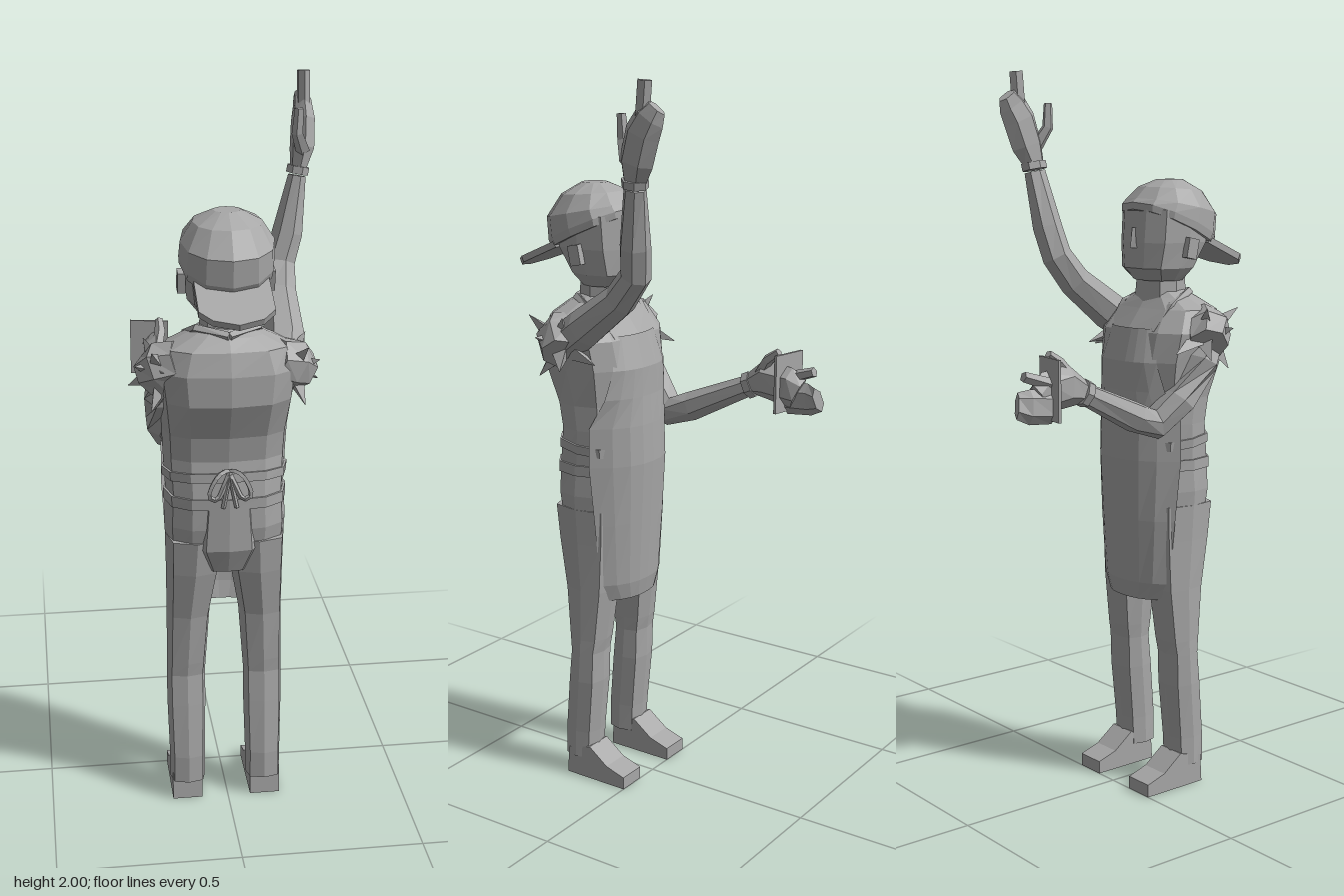
import * as THREE from 'three';

const V = (x, y, z) => new THREE.Vector3(x, y, z);
const grey = new THREE.MeshStandardMaterial({ color: 0xa8a8a8 });
grey.name = 'plain grey';
const greySheet = new THREE.MeshStandardMaterial({ color: 0xa8a8a8, side: THREE.DoubleSide });
greySheet.name = 'plain grey sheet';

// Flat-shaded skin over rows of points; closed rows are capped at both ends
function skin(rows, closed = true) {
  const out = [], n = rows[0].length;
  const tri = (a, b, c) => { for (const p of [a, b, c]) out.push(p.x, p.y, p.z); };
  for (let i = 0; i < rows.length - 1; i++) {
    for (let j = 0; j < (closed ? n : n - 1); j++) {
      const k = (j + 1) % n, lo = rows[i], hi = rows[i + 1];
      tri(lo[j], hi[j], lo[k]);
      tri(hi[j], hi[k], lo[k]);
    }
  }
  if (closed) {
    const mid = r => r.reduce((s, p) => s.add(p), V(0, 0, 0)).divideScalar(n);
    const lo = rows[0], hi = rows[rows.length - 1], cl = mid(lo), ch = mid(hi);
    for (let j = 0; j < n; j++) {
      const k = (j + 1) % n;
      tri(cl, lo[j], lo[k]);
      tri(ch, hi[k], hi[j]);
    }
  }
  const g = new THREE.BufferGeometry();
  g.setAttribute('position', new THREE.Float32BufferAttribute(out, 3));
  g.computeVertexNormals();
  return g;
}

// Upright loft; each row is [y, centre x, half width, z front, z back, slope]
function loft(rows, sides = 10, power = 0.75) {
  const bend = v => Math.sign(v) * Math.pow(Math.abs(v) < 1e-6 ? 0 : Math.abs(v), power);
  return skin(rows.map(([y, cx, hw, zf, zb, slope = 0]) => Array.from({ length: sides }, (_, j) => {
    const a = j / sides * Math.PI * 2, dz = bend(Math.sin(a)) * (zb - zf) / 2;
    return V(cx + bend(Math.cos(a)) * hw, y + slope * dz, (zf + zb) / 2 + dz);
  })));
}

// Limb along a path; each point is [x, y, z, radius, second radius]
function sweep(path, sides = 7) {
  const p = path.map(q => V(q[0], q[1], q[2])), last = p.length - 1;
  return skin(path.map((q, i) => {
    const dir = p[Math.min(i + 1, last)].clone().sub(p[Math.max(i - 1, 0)]).normalize();
    const turn = new THREE.Quaternion().setFromUnitVectors(V(0, 1, 0), dir);
    return Array.from({ length: sides }, (_, j) => {
      const a = (j + 0.5) / sides * Math.PI * 2;
      return V(Math.cos(a) * q[3], 0, Math.sin(a) * (q[4] ?? q[3])).applyQuaternion(turn).add(p[i]);
    });
  }));
}

export function createModel() {
  const model = new THREE.Group();
  model.name = 'figure';
  const add = (name, geometry, material = grey) => {
    const mesh = new THREE.Mesh(geometry.index ? geometry.toNonIndexed() : geometry, material);
    mesh.geometry.computeVertexNormals();
    mesh.name = name;
    model.add(mesh);
    return mesh;
  };
  const cx = -0.005;

  // Torso and hips
  add('torso', loft([
    [0.73, cx, 0.12, 0.09, 0.2], [0.77, cx, 0.16, 0.065, 0.24], [0.86, cx, 0.165, 0.05, 0.258],
    [0.95, cx, 0.16, 0.04, 0.258], [1.05, cx, 0.165, 0.04, 0.243], [1.12, cx, 0.168, 0.04, 0.255],
    [1.22, cx, 0.18, 0.03, 0.298], [1.3, cx, 0.19, 0.045, 0.298], [1.36, cx, 0.165, 0.09, 0.28],
    [1.39, cx, 0.1, 0.11, 0.25], [1.41, cx, 0.06, 0.12, 0.22]], 12));
  add('belt', loft([[0.92, cx, 0.166, 0.04, 0.263], [0.95, cx, 0.166, 0.036, 0.263]], 12));
  add('apronTie', loft([[0.985, cx, 0.168, 0.03, 0.256, 0.1], [1.01, cx, 0.17, 0.03, 0.254, 0.1]], 12));
  add('seatPanel', loft([[0.73, cx, 0.05, 0.2, 0.235], [0.8, cx, 0.08, 0.2, 0.262], [0.92, cx, 0.07, 0.2, 0.262]], 8));
  add('neck', loft([[1.36, cx, 0.07, 0.1, 0.23], [1.47, cx, 0.065, 0.11, 0.22]], 8));

  // Legs and shoes
  const shoe = new THREE.Shape([[-0.2, 0], [0, 0], [0, 0.036], [-0.06, 0.055], [-0.12, 0.1], [-0.195, 0.08]]
    .map(([a, b]) => new THREE.Vector2(a, b)));
  for (const s of [-1, 1]) {
    const x = r => cx + s * r;
    add('leg', loft([
      [0.06, x(0.108), 0.05, 0.12, 0.215], [0.14, x(0.108), 0.05, 0.115, 0.215], [0.3, x(0.108), 0.054, 0.1, 0.2],
      [0.39, x(0.108), 0.054, 0.098, 0.19], [0.43, x(0.106), 0.055, 0.09, 0.195],
      [0.58, x(0.1), 0.06, 0.07, 0.21], [0.72, x(0.088), 0.073, 0.06, 0.237], [0.82, x(0.083), 0.08, 0.055, 0.25]], 8, 0.65));
    const g = new THREE.ExtrudeGeometry(shoe, { depth: 0.084, bevelEnabled: false });
    g.rotateY(Math.PI / 2).translate(x(0.111) - 0.042, 0, 0);
    add('shoe', g);
  }

  // Apron sheet, wrapped round the chest and thighs; rows are [y, half width, z middle, z edge]
  const apron = [[0.55, 0.11, 0.032, 0.075], [0.6, 0.14, 0.022, 0.085], [0.78, 0.156, 0.01, 0.09],
    [0.95, 0.167, 0.0, 0.1], [1.06, 0.166, 0.004, 0.1], [1.14, 0.14, 0.01, 0.065],
    [1.22, 0.12, 0.012, 0.05], [1.31, 0.1, 0.04, 0.07]];
  add('apron', skin(apron.map(([y, hw, zm, ze]) => Array.from({ length: 9 }, (_, j) => {
    const u = j / 4 - 1;
    return V(cx + u * hw, y, zm + (ze - zm) * Math.pow(Math.abs(u), 2.5));
  })), false), greySheet);
  for (const s of [-1, 1]) {
    add('neckStrap', sweep([[cx + s * 0.09, 1.3, 0.065, 0.012], [cx + s * 0.1, 1.37, 0.12, 0.012],
      [cx + s * 0.08, 1.405, 0.2, 0.012], [cx, 1.395, 0.25, 0.012]], 4));
    // Bow loops and tails
    const b = new THREE.CatmullRomCurve3([V(cx, 1.03, 0.253), V(cx + s * 0.03, 1.025, 0.27),
      V(cx + s * 0.055, 0.965, 0.27), V(cx + s * 0.035, 0.955, 0.268), V(cx + s * 0.015, 0.99, 0.262)], true);
    add('bowLoop', new THREE.TubeGeometry(b, 14, 0.007, 4, true));
    add('bowTail', sweep([[cx, 1.02, 0.258, 0.006], [cx + s * 0.018, 0.93, 0.266, 0.006]], 4));
  }

  // Head, ears and backward cap
  add('head', loft([[1.435, cx, 0.07, 0.1, 0.21], [1.47, cx, 0.098, 0.066, 0.24], [1.54, cx, 0.11, 0.064, 0.285],
    [1.63, cx, 0.112, 0.07, 0.29]], 10));
  add('nose', loft([[1.525, cx, 0.018, 0.055, 0.09], [1.58, cx, 0.008, 0.062, 0.09]], 4, 1));
  for (const s of [-1, 1]) {
    add('ear', new THREE.BoxGeometry(0.02, 0.055, 0.035).rotateX(0.2).translate(cx + s * 0.115, 1.525, 0.175));
  }
  add('cap', loft([[1.575, cx, 0.121, 0.064, 0.31, -0.45], [1.595, cx, 0.123, 0.064, 0.322, -0.42],
    [1.635, cx, 0.12, 0.078, 0.328, -0.2], [1.683, cx, 0.088, 0.11, 0.285, -0.08], [1.71, cx, 0.035, 0.16, 0.23]], 12, 0.9));
  const brim = new THREE.Shape([[-0.098, 0], [0.092, 0], [0.092, 0.125], [0.06, 0.16], [-0.003, 0.18], [-0.066, 0.16], [-0.098, 0.125]]
    .map(([a, b]) => new THREE.Vector2(a, b)));
  add('capBrim', new THREE.ExtrudeGeometry(brim, { depth: 0.018, bevelEnabled: false })
    .rotateX(Math.PI / 2 + 0.42).translate(0, 1.553, 0.265));

  // Raised arm
  add('raisedUpperArm', sweep([[0.14, 1.28, 0.2, 0.055], [0.16, 1.34, 0.11, 0.055], [0.165, 1.43, -0.01, 0.046],
    [0.172, 1.5, -0.065, 0.043], [0.195, 1.58, -0.08, 0.042], [0.222, 1.73, -0.1, 0.024, 0.032]]));
  add('raisedCuff', sweep([[0.222, 1.735, -0.1, 0.03, 0.038], [0.226, 1.755, -0.102, 0.03, 0.038]]));
  add('raisedPalm', sweep([[0.225, 1.75, -0.1, 0.022, 0.034], [0.237, 1.8, -0.115, 0.033, 0.05],
    [0.242, 1.87, -0.137, 0.032, 0.052], [0.243, 1.91, -0.16, 0.025, 0.045], [0.24, 1.935, -0.178, 0.018, 0.03]], 6));
  add('raisedFinger', sweep([[0.243, 1.88, -0.135, 0.018, 0.022], [0.243, 2.0, -0.145, 0.018, 0.022]], 6));
  add('raisedThumb', sweep([[0.235, 1.8, -0.085, 0.02], [0.215, 1.85, -0.06, 0.016], [0.218, 1.915, -0.056, 0.012]], 5));

  // Forward arm with a small card in the hand
  add('forwardArm', sweep([[-0.15, 1.32, 0.21, 0.055], [-0.172, 1.22, 0.17, 0.05], [-0.168, 1.12, 0.1, 0.045],
    [-0.14, 1.06, 0.035, 0.046], [-0.143, 1.085, -0.04, 0.042], [-0.155, 1.165, -0.215, 0.023, 0.03]]));
  add('forwardCuff', sweep([[-0.155, 1.163, -0.208, 0.03, 0.037], [-0.156, 1.172, -0.228, 0.03, 0.037]]));
  add('forwardPalm', sweep([[-0.156, 1.17, -0.22, 0.022, 0.03], [-0.152, 1.19, -0.27, 0.035, 0.055],
    [-0.15, 1.18, -0.34, 0.03, 0.055], [-0.155, 1.165, -0.37, 0.025, 0.045]], 6));
  add('lowerFingers', sweep([[-0.165, 1.145, -0.33, 0.023, 0.045], [-0.165, 1.15, -0.4, 0.022, 0.045],
    [-0.155, 1.155, -0.432, 0.018, 0.035]], 6));
  add('upperFinger', sweep([[-0.165, 1.2, -0.33, 0.018], [-0.16, 1.228, -0.415, 0.014]], 5));
  add('forwardThumb', sweep([[-0.15, 1.2, -0.25, 0.018], [-0.135, 1.25, -0.285, 0.016], [-0.135, 1.275, -0.32, 0.012]], 5));
  add('card', new THREE.BoxGeometry(0.11, 0.16, 0.008).rotateY(-0.18).translate(-0.163, 1.19, -0.334));

  // Sleeves with torn, pointed edges
  for (const s of [-1, 1]) {
    add('sleeve', sweep([[cx + s * 0.12, 1.32, 0.21, 0.06], [cx + s * 0.165, 1.3, 0.19, 0.07],
      [cx + s * 0.2, 1.27, 0.165, 0.055]], 7));
    const tips = [[0.252, 1.235, 0.13], [0.24, 1.315, 0.22], [0.2, 1.365, 0.272], [0.212, 1.37, 0.15], [0.2, 1.2, 0.24], [0.19, 1.25, 0.06]];
    for (const [x, y, z] of tips) {
      add('tornSleevePoint', sweep([[cx + s * 0.165, 1.29, 0.185, 0.04], [cx + s * x, y, z, 0.001]], 3));
    }
  }
  return model;
}
